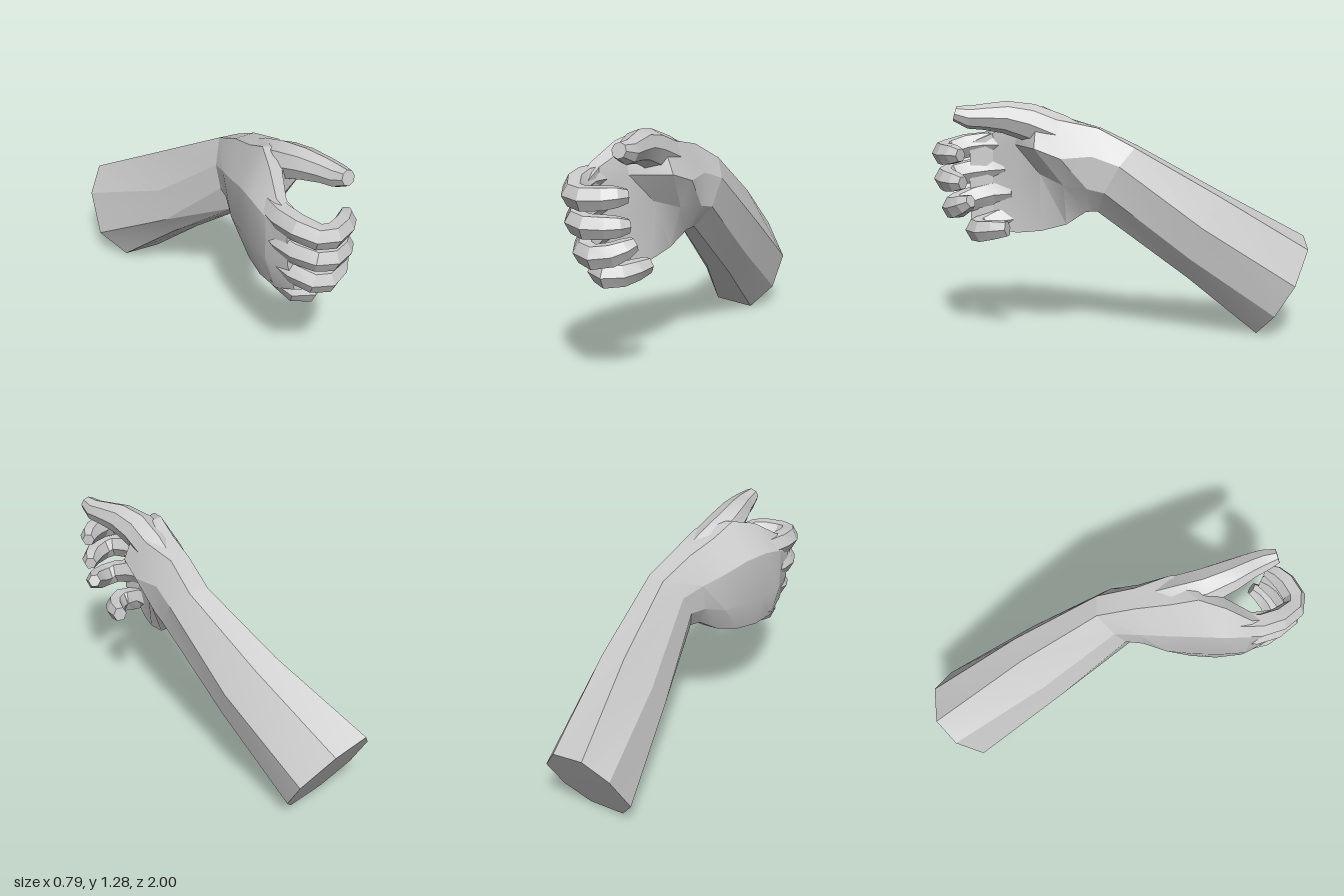
import * as THREE from 'three';
import { toCreasedNormals } from 'three/addons/utils/BufferGeometryUtils.js';

const material = new THREE.MeshStandardMaterial({ color: 0xcccccc });

// Skin a list of rings (each a loop of Vector3, counter-clockwise about the path) and cap both ends.
function loft(name, rings) {
  const n = rings[0].length;
  const pos = rings.flat().flatMap(p => [p.x, p.y, p.z]);
  const index = [];
  for (let i = 0; i < rings.length - 1; i++) {
    for (let j = 0; j < n; j++) {
      const a = i * n + j, b = i * n + (j + 1) % n;
      index.push(a, b, b + n, a, b + n, a + n);
    }
  }
  const last = (rings.length - 1) * n;
  for (let j = 1; j < n - 1; j++) {
    index.push(0, j + 1, j);
    index.push(last, last + j, last + j + 1);
  }
  const geometry = new THREE.BufferGeometry();
  geometry.setAttribute('position', new THREE.Float32BufferAttribute(pos, 3));
  geometry.setIndex(index);
  const mesh = new THREE.Mesh(toCreasedNormals(geometry, 0.35), material);
  mesh.name = name;
  return mesh;
}

// Faceted tube along points, with its own radius at each point.
function digit(name, path, radii, sides, tall) {
  const pts = path.map(p => new THREE.Vector3(...p));
  const rings = pts.map((p, i) => {
    const t = pts[Math.min(i + 1, pts.length - 1)].clone().sub(pts[Math.max(i - 1, 0)]).normalize();
    const v = new THREE.Vector3(0, 1, 0).addScaledVector(t, -t.y).normalize();
    const u = v.clone().cross(t);
    return Array.from({ length: sides }, (_, j) => {
      const a = j / sides * Math.PI * 2;
      return p.clone()
        .addScaledVector(u, Math.cos(a) * radii[i])
        .addScaledVector(v, Math.sin(a) * radii[i] * tall);
    });
  });
  return loft(name, rings);
}

export function createModel() {
  const group = new THREE.Group();
  group.name = 'hand';

  // Forearm: flat cut end, middle and wrist octagons
  const armRings = [
    [[-.40, .38, -.88], [-.40, .17, -.75], [-.26, .02, -.69], [-.04, 0, -.73],
      [.05, .12, -.83], [.05, .29, -.935], [-.11, .46, -1], [-.31, .50, -.975]],
    [[-.15, .61, -.38], [-.15, .46, -.30], [-.08, .335, -.35], [.07, .325, -.36],
      [.17, .45, -.38], [.20, .62, -.45], [.07, .77, -.53], [-.07, .79, -.50]],
    [[.03, .93, 0], [.03, .82, .06], [.09, .71, .11], [.20, .70, .11],
      [.28, .81, .06], [.28, .95, -.02], [.20, 1.04, -.09], [.09, 1.04, -.09]],
  ].map(ring => ring.map(p => new THREE.Vector3(...p)));
  group.add(loft('forearm', armRings));

  // Palm: octagons at increasing z, from the wrist ring to the knuckles
  const palmSections = [
    [.14, [[.01, .97], [.02, .82], [.08, .71], [.20, .695], [.28, .83], [.28, 1], [.20, 1.14], [.09, 1.13]]],
    [.28, [[-.01, 1], [-.01, .78], [.06, .64], [.18, .62], [.25, .84], [.325, .99], [.25, 1.18], [.09, 1.18]]],
    [.42, [[-.03, 1.04], [-.025, .78], [.03, .60], [.17, .58], [.19, .89], [.32, 1.04], [.25, 1.2], [.09, 1.24]]],
    [.56, [[-.04, 1.05], [-.03, .78], [.025, .585], [.14, .56], [.13, .82], [.15, 1.04], [.13, 1.17], [.06, 1.2]]],
    [.70, [[-.025, 1.02], [-.02, .78], [.04, .59], [.11, .57], [.10, .76], [.09, .98], [.085, 1.09], [.03, 1.11]]],
    [.82, [[.03, 1], [.04, .80], [.085, .64], [.13, .63], [.13, .76], [.12, .98], [.12, 1.04], [.065, 1.05]]],
  ];
  const palmRings = palmSections.map(([z, loop], i) => loop.map(([x, y]) =>
    new THREE.Vector3(x, y, i === 0 ? z + (.9 - y) * .15 : z)));
  group.add(loft('palm', [armRings[2], ...palmRings]));

  // Three long fingers share one curl; each has its own heights and knuckle offset
  const curl = [[.04, .64], [.04, .75], [.075, .85], [.14, .93], [.21, .94], [.29, .895], [.335, .845], [.36, .80]];
  const radii = [.065, .065, .064, .06, .06, .058, .05, .034];
  const fingers = [
    ['indexFinger', 0, 0, [1.03, 1.03, 1.02, 1, .995, 1, 1.005, 1.005]],
    ['middleFinger', .012, -.01, [.90, .89, .88, .87, .86, .86, .86, .86]],
    ['ringFinger', .03, -.05, [.77, .76, .74, .715, .705, .72, .745, .765]],
  ];
  for (const [name, dx, dz, heights] of fingers) {
    const path = curl.map(([x, z], i) => [x + dx * (1 - i / 7), heights[i], z + dz]);
    group.add(digit(name, path, radii, 6, 1.08));
  }

  // Little finger curls further back
  group.add(digit('littleFinger',
    [[.075, .635, .56], [.085, .62, .67], [.13, .585, .75], [.19, .58, .77], [.25, .585, .72], [.28, .60, .65], [.29, .61, .575]],
    [.055, .06, .063, .062, .058, .052, .04], 6, 1.08));

  // Thumb grows out of the heel of the hand and points forward
  group.add(digit('thumb',
    [[.17, 1.04, .14], [.18, 1.11, .32], [.20, 1.165, .47], [.245, 1.195, .59], [.295, 1.2, .69], [.325, 1.2, .76], [.34, 1.22, .83]],
    [.08, .1, .1, .085, .068, .06, .04], 8, 1));

  return group;
}
